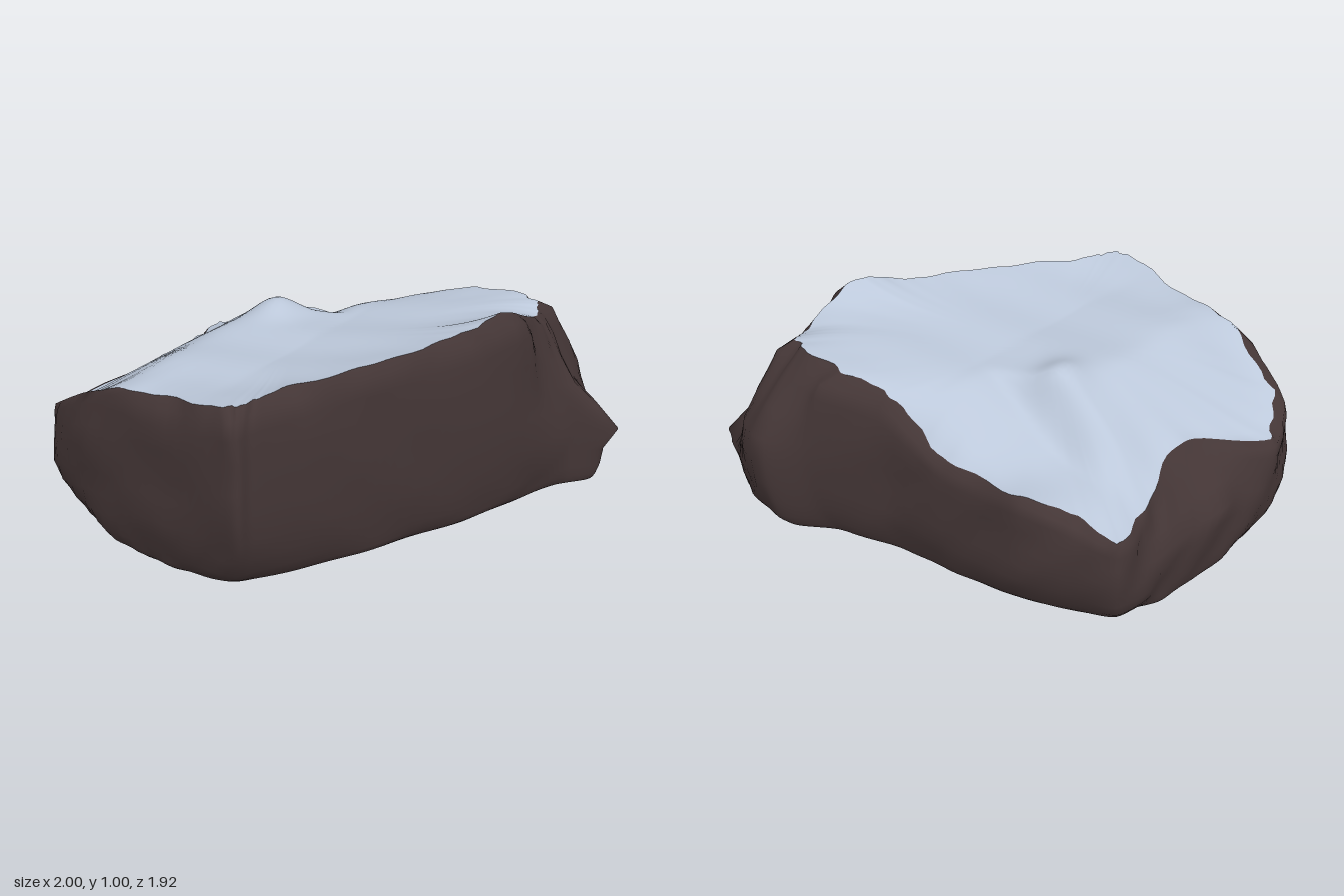
import * as THREE from 'three';

const N = 198;               // samples around the rock
const CX = -0.1, CZ = 0.1;   // hub of the snow cap and the base

// Snow edge: x, y, z
const RIM = [
  [-0.94, 0.50, -0.31], [-0.72, 0.56, -0.37], [-0.55, 0.62, -0.50], [-0.18, 0.64, -0.56],
  [0.09, 0.82, -0.59], [0.30, 0.88, -0.67], [0.53, 0.90, -0.70], [0.64, 0.89, -0.66],
  [0.68, 0.87, -0.58], [0.71, 0.92, -0.45], [0.69, 1.00, -0.26], [0.60, 0.95, -0.05],
  [0.43, 0.92, 0.35], [0.25, 0.90, 0.68], [0.21, 0.89, 0.82], [0.14, 0.88, 0.91],
  [-0.23, 0.82, 0.90], [-0.45, 0.79, 0.92], [-0.77, 0.61, 0.86], [-0.93, 0.50, 0.66],
  [-0.76, 0.60, 0.27], [-0.87, 0.53, -0.05],
];
// Widest wall outline: x, z
const WALL = [
  [-0.96, -0.33], [-0.77, -0.43], [-0.56, -0.52], [-0.20, -0.60], [0.08, -0.66], [0.39, -0.83],
  [0.55, -0.965], [0.80, -0.935], [1.00, -0.81], [0.87, -0.65], [0.79, -0.35], [0.68, -0.08],
  [0.46, 0.37], [0.33, 0.66], [0.24, 0.87], [0.20, 0.95], [-0.20, 0.95], [-0.60, 0.93],
  [-0.88, 0.86], [-0.98, 0.66], [-0.995, 0.35], [-0.97, -0.05],
];
// Rounded foot outline: x, z
const FOOT = [
  [-0.86, -0.22], [-0.70, -0.34], [-0.53, -0.44], [-0.20, -0.53], [0.08, -0.60], [0.35, -0.72],
  [0.52, -0.86], [0.74, -0.86], [0.92, -0.77], [0.82, -0.62], [0.73, -0.36], [0.63, -0.10],
  [0.41, 0.33], [0.26, 0.60], [0.16, 0.75], [0.08, 0.84], [-0.20, 0.90], [-0.53, 0.87],
  [-0.75, 0.73], [-0.90, 0.55], [-0.95, 0.28], [-0.94, -0.03],
];

// Wall levels: share of rim height, outward share of steep, sloped and spur sides, pull to the foot
const LEVELS = [
  [0.95, 0.65, 0.15, 0.10, 0], [0.87, 0.88, 0.36, 0.18, 0], [0.74, 0.96, 0.66, 0.30, 0],
  [0.60, 1.00, 0.95, 0.48, 0], [0.46, 1.00, 1.00, 0.75, 0.03], [0.32, 1.00, 1.00, 1.00, 0.12],
  [0.20, 1.00, 1.00, 0.95, 0.32], [0.10, 1.00, 1.00, 0.95, 0.62], [0.045, 1.00, 1.00, 0.94, 0.88],
  [0.015, 1.00, 1.00, 0.92, 1.08], [0, 1.00, 1.00, 0.90, 1.35],
];

const { lerp, smoothstep } = THREE.MathUtils;
const closed = (points) => new THREE.CatmullRomCurve3(points, true, 'catmullrom', 0.35);
const flatLoop = (pairs) => closed(pairs.map(([x, z]) => new THREE.Vector3(x, 0, z)));
const between = (k, a, b, c, d) => smoothstep(k, a, b) * (1 - smoothstep(k, c, d));

// Snow: a nearly level sheet on the right meets a falling, stepped sheet on the left
function snowHeight(x, z) {
  const level = 0.845 + 0.13 * Math.max(0, x);
  const step = 0.2 * smoothstep(-z, 0, 0.2) * smoothstep(x, -0.9, -0.4);
  const falling = 0.89 + 0.6 * (x + 0.33) - step;
  const bend = Math.sqrt((level - falling) ** 2 + 0.0008);
  const crest = 0.06 * Math.exp(-(((x + 0.32) ** 2) / 0.01 + ((z + 0.01) ** 2) / 0.015));
  return (level + falling - bend) / 2 + crest + 0.004 * Math.sin(16 * z + 5 * x);
}

// Soft chips and dents on the walls
const chips = (x, y, z) =>
  0.006 * Math.sin(9 * x + 14 * y - 7 * z) + 0.006 * Math.sin(21 * z - 17 * y + 5 * x) +
  0.004 * Math.sin(37 * x + 29 * y + 31 * z);

// Smooth skin through closed rings, running from top to bottom
function skin(rings) {
  const positions = rings.flatMap((ring) => ring.flatMap((p) => [p.x, p.y, p.z]));
  const index = [];
  for (let r = 0; r < rings.length - 1; r++) {
    for (let i = 0; i < N; i++) {
      const a = r * N + i, b = r * N + (i + 1) % N;
      index.push(a, b, b + N, a, b + N, a + N);
    }
  }
  const geometry = new THREE.BufferGeometry();
  geometry.setAttribute('position', new THREE.Float32BufferAttribute(positions, 3));
  geometry.setIndex(index);
  geometry.computeVertexNormals();
  return geometry;
}

export function createModel() {
  const group = new THREE.Group();
  const stone = new THREE.MeshStandardMaterial({ name: 'dark brown stone', color: 0x443636 });
  const snow = new THREE.MeshStandardMaterial({ name: 'pale blue snow', color: 0xbcc8da });

  const rimCurve = closed(RIM.map((p) => new THREE.Vector3(...p)));
  const wallCurve = flatLoop(WALL), footCurve = flatLoop(FOOT);
  const rim = [], wall = [], foot = [], spur = [], slope = [];
  for (let i = 0; i < N; i++) {
    // where the side flares into the back spur, and where it leans back
    const k = i / N * RIM.length;
    spur.push(between(k, 6.2, 7.5, 9, 10.5));
    slope.push(between(k, 4.5, 5.8, 6.4, 7.2) + between(k, 18.8, 20, 21, 22));
    // ragged snow edge
    const wave = 0.011 * Math.sin(i * 0.74) + 0.009 * Math.sin(i * 1.4 + 2 * Math.sin(i * 0.19));
    const ragged = 0.99 + wave * (1 - 0.7 * spur[i]);
    const p = rimCurve.getPoint(i / N);
    p.x = lerp(CX, p.x, ragged);
    p.z = lerp(CZ, p.z, ragged);
    rim.push(p);
    wall.push(wallCurve.getPoint(i / N));
    foot.push(footCurve.getPoint(i / N));
  }

  // Snow cap
  const capRings = [];
  for (let r = 0; r <= 28; r++) {
    const t = r / 28;
    capRings.push(rim.map((p) => {
      const x = lerp(CX, p.x, t), z = lerp(CZ, p.z, t);
      return new THREE.Vector3(x, lerp(snowHeight(x, z), p.y, t ** 6), z);
    }));
  }
  const cap = new THREE.Mesh(skin(capRings), snow);
  cap.name = 'snowCap';

  // Rock walls
  const wallRings = [rim];
  for (const [h, steepOut, slopeOut, spurOut, pull] of LEVELS) {
    wallRings.push(rim.map((p, i) => {
      const t = lerp(lerp(steepOut, slopeOut, slope[i]), spurOut, spur[i]);
      const x = lerp(lerp(p.x, wall[i].x, t), foot[i].x, pull);
      const z = lerp(lerp(p.z, wall[i].z, t), foot[i].z, pull);
      const y = p.y * h + 0.045 * smoothstep(x, 0.1, 0.9) * (1 - h);
      const d = 1 + chips(x, y, z) * (h > 0.9 ? 0.4 : 1);
      return new THREE.Vector3(x * d, y, z * d);
    }));
  }
  // Underside
  const sole = wallRings[wallRings.length - 1];
  for (const t of [0.96, 0.5, 0]) {
    wallRings.push(sole.map((p) => new THREE.Vector3(lerp(CX, p.x, t), p.y * t, lerp(CZ, p.z, t))));
  }
  const rock = new THREE.Mesh(skin(wallRings), stone);
  rock.name = 'rockBody';

  group.add(rock, cap);
  return group;
}
